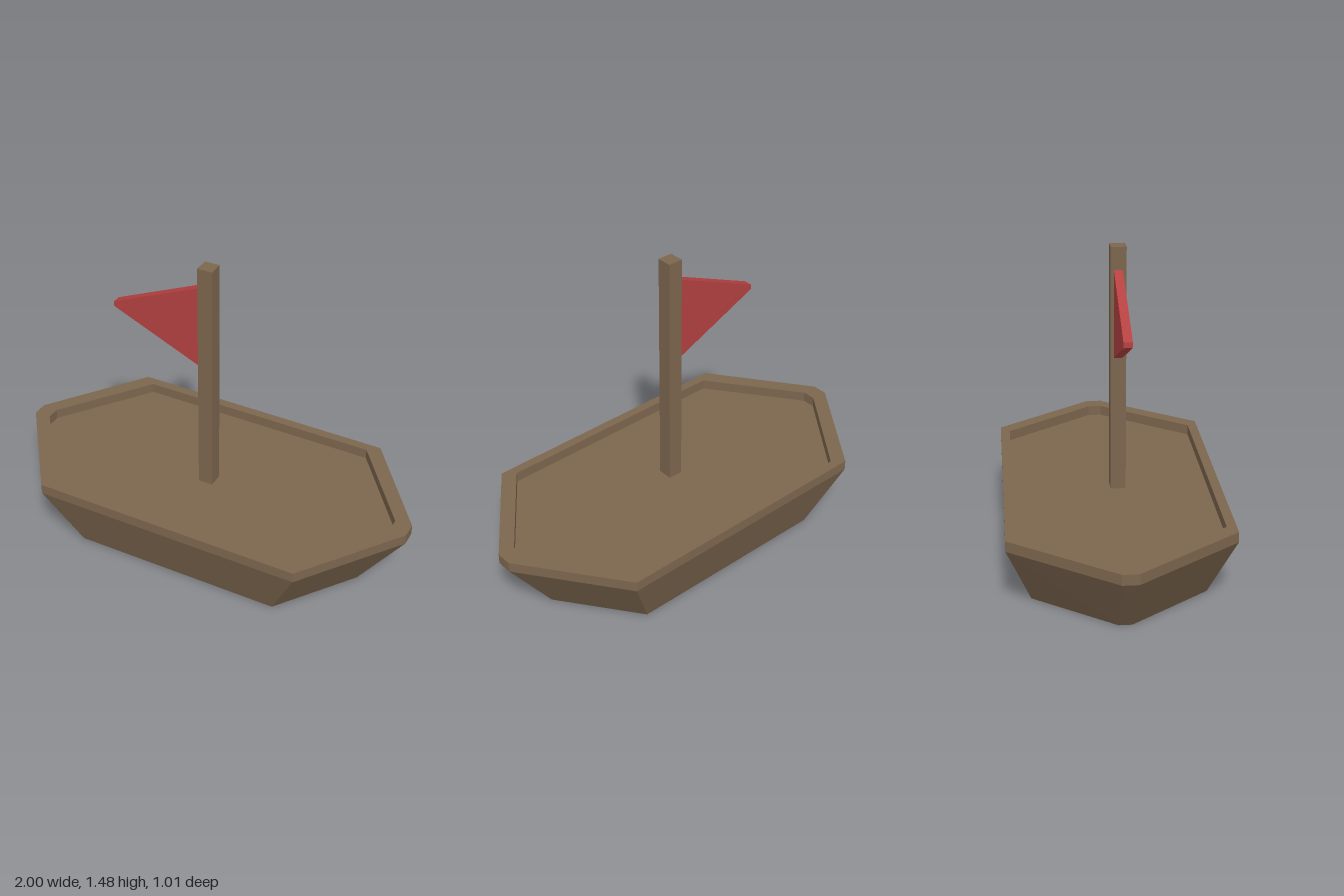
import * as THREE from 'three';

// Eight-cornered boat outline at height y: tip position, tip half width, shoulder position, half beam
function outline([y, tipX, tipZ, midX, midZ]) {
  return [
    [tipX, y, tipZ], [midX, y, midZ], [-midX, y, midZ], [-tipX, y, tipZ],
    [-tipX, y, -tipZ], [-midX, y, -midZ], [midX, y, -midZ], [tipX, y, -tipZ],
  ];
}

// Skin a list of outlines, each joined to the next
function loft(sections) {
  const rings = sections.map(outline);
  const pos = [];
  for (let r = 0; r < rings.length - 1; r++) {
    const a = rings[r], b = rings[r + 1];
    for (let i = 0; i < 8; i++) {
      const j = (i + 1) % 8;
      pos.push(...a[i], ...b[i], ...b[j], ...a[i], ...b[j], ...a[j]);
    }
  }
  const geo = new THREE.BufferGeometry();
  geo.setAttribute('position', new THREE.Float32BufferAttribute(pos, 3));
  geo.computeVertexNormals();
  return geo;
}

export function createModel() {
  const wood = new THREE.MeshStandardMaterial({ color: 0x7c664e });
  wood.name = 'wood';
  const red = new THREE.MeshStandardMaterial({ color: 0xb54141 });
  red.name = 'red cloth';

  const boat = new THREE.Group();
  boat.name = 'sailboat';
  const add = (name, geo, mat) => {
    const mesh = new THREE.Mesh(geo, mat);
    mesh.name = name;
    boat.add(mesh);
    return mesh;
  };

  // Hull: flared sides and an upright rim
  add('hull', loft([
    [0, 0, 0, 0, 0],
    [0, 0.78, 0.03, 0.51, 0.395],
    [0.31, 1, 0.037, 0.655, 0.505],
    [0.36, 1, 0.037, 0.655, 0.505],
    [0.36, 0.92, 0.032, 0.6, 0.46],
    [0.31, 0.92, 0.032, 0.6, 0.46],
  ]), wood);

  // Sunken deck inside the rim
  add('deck', loft([
    [0.31, 0.92, 0.032, 0.6, 0.46],
    [0.31, 0, 0, 0, 0],
  ]), wood);

  // Square mast, slightly off centre
  add('mast', new THREE.BoxGeometry(0.072, 1.18, 0.072), wood)
    .position.set(-0.007, 0.89, 0.037);

  // Pennant with a blunt tip
  const pennant = new THREE.Shape([
    new THREE.Vector2(-0.04, 0.96),
    new THREE.Vector2(-0.04, 1.375),
    new THREE.Vector2(-0.485, 1.18),
    new THREE.Vector2(-0.485, 1.155),
  ]);
  add('flag', new THREE.ExtrudeGeometry(pennant, { depth: 0.04, bevelEnabled: false }), red)
    .position.z = 0.016;

  return boat;
}
